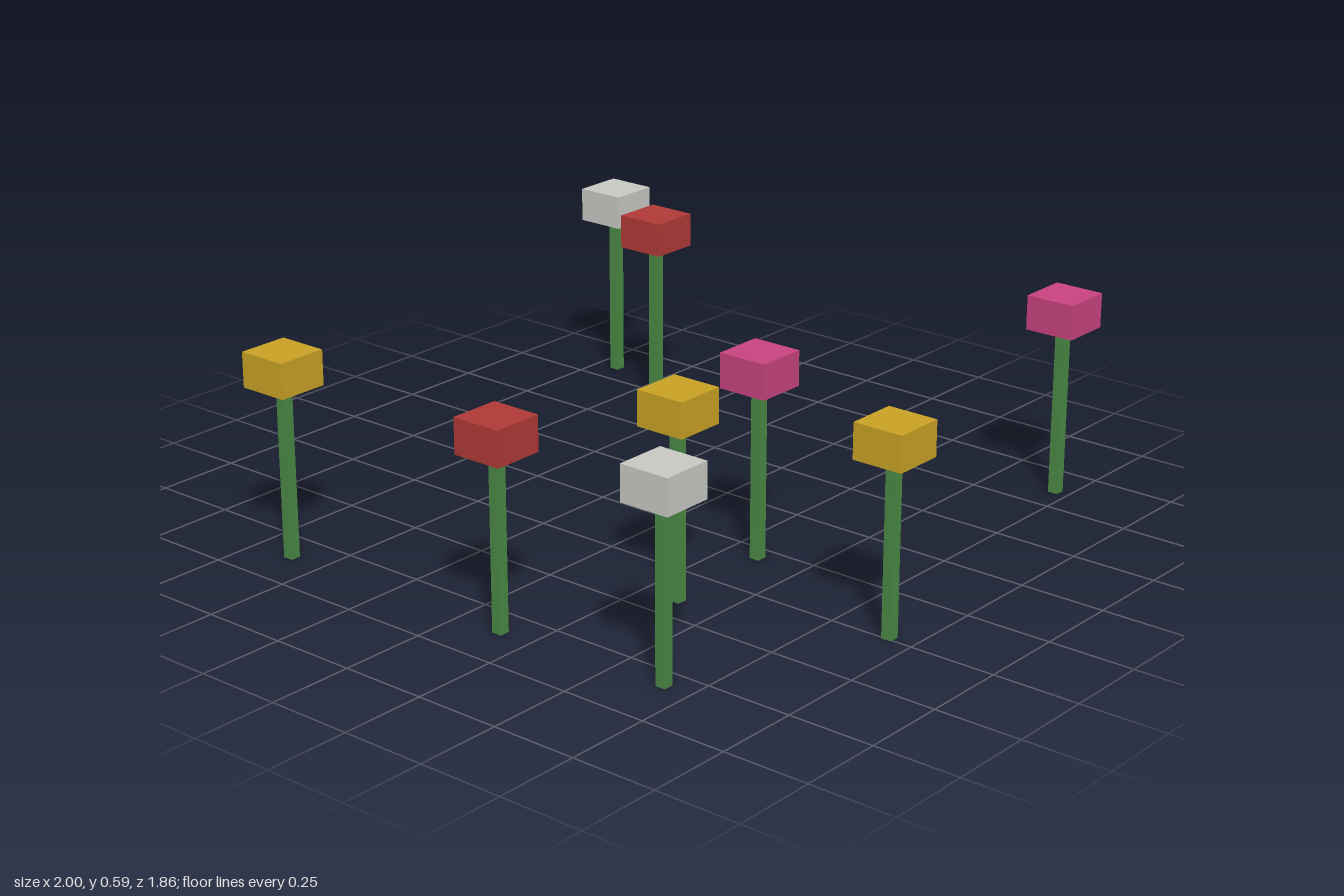
import * as THREE from 'three';

const HEAD = 0.148, HEAD_H = 0.1, STEM = 0.03, STEM_H = 0.49;

export function createModel() {
  const mat = (name, color) => {
    const m = new THREE.MeshStandardMaterial({ color });
    m.name = name;
    return m;
  };
  const green = mat('stem green', 0x4a8a45);
  const white = mat('petal white', 0xc9c9c4);
  const red = mat('petal red', 0xb03a36);
  const pink = mat('petal pink', 0xc9437f);
  const yellow = mat('petal yellow', 0xc9a224);

  const stemGeo = new THREE.BoxGeometry(STEM, STEM_H, STEM);
  const headGeo = new THREE.BoxGeometry(HEAD, HEAD_H, HEAD);

  // petal colour, x, z of each flower
  const flowers = [
    [white, -0.926, -0.84],
    [red, -0.65, -0.705],
    [pink, 0.706, -0.858],
    [pink, 0.352, 0.056],
    [yellow, 0.926, 0.241],
    [yellow, 0.367, 0.409],
    [white, 0.666, 0.82],
    [red, 0.147, 0.85],
    [yellow, -0.613, 0.858],
  ];

  const model = new THREE.Group();
  model.name = 'flowerPatch';
  flowers.forEach(([petal, x, z], i) => {
    const flower = new THREE.Group();
    flower.name = `flower${i + 1}`;
    flower.position.set(x, 0, z);

    // square stem
    const stem = new THREE.Mesh(stemGeo, green);
    stem.name = 'stem';
    stem.position.y = STEM_H / 2;

    // block blossom
    const head = new THREE.Mesh(headGeo, petal);
    head.name = 'blossom';
    head.position.y = STEM_H + HEAD_H / 2;

    flower.add(stem, head);
    model.add(flower);
  });
  return model;
}
